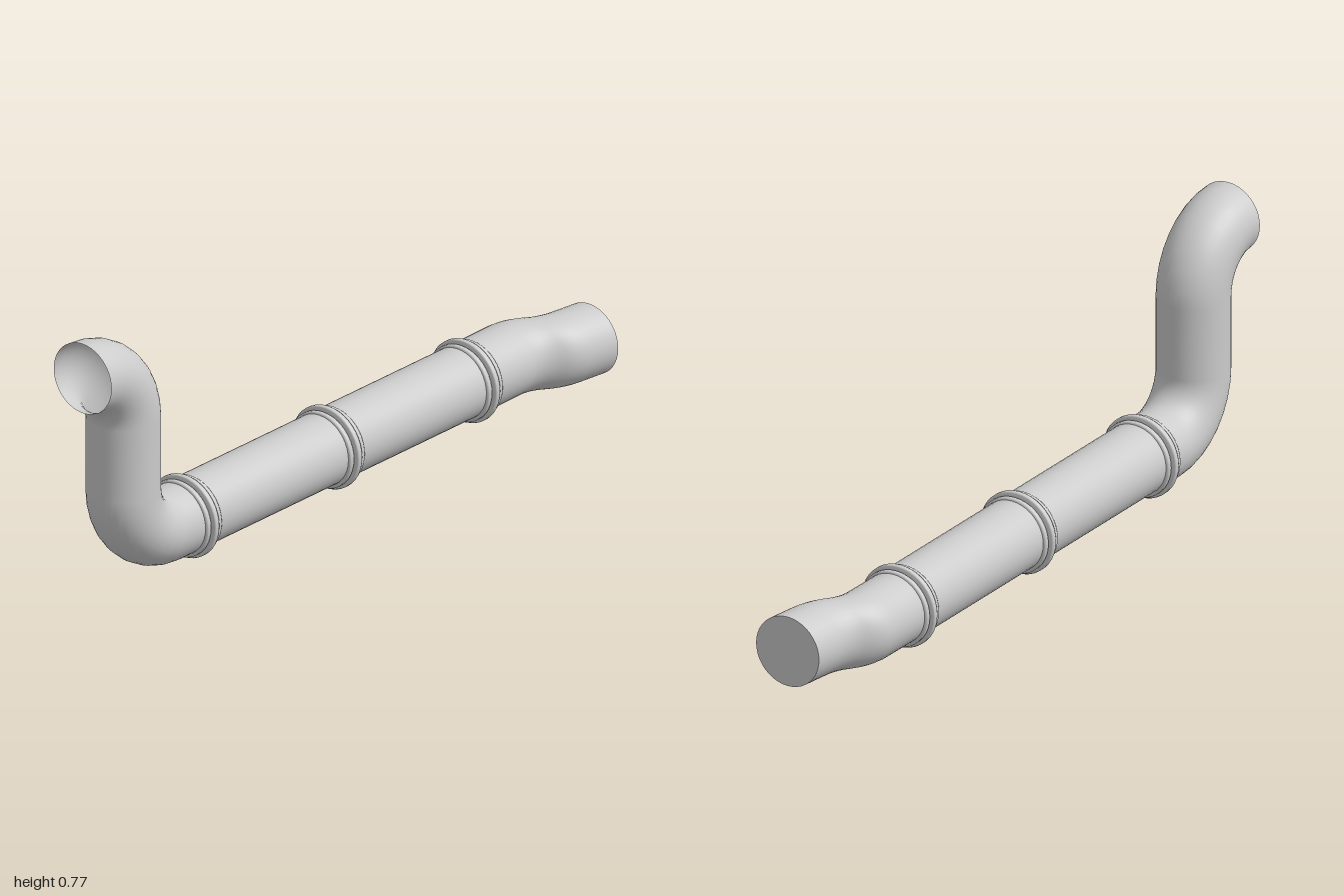
import * as THREE from 'three';

const R = 0.102, BEND = 0.168, SIDES = 40;
const X = -0.033, Y = 0.121;
const material = new THREE.MeshStandardMaterial({ color: 0xcccccc, side: THREE.DoubleSide });

function add(group, geometry, name) {
  const mesh = new THREE.Mesh(geometry, material);
  mesh.name = name;
  group.add(mesh);
  return mesh;
}

// Skins circular rings { x, y, z, a }; a is the downward pitch of the path from -z
function loft(rings) {
  const positions = [], index = [];
  rings.forEach(({ x, y, z, a = 0 }, i) => {
    for (let j = 0; j < SIDES; j++) {
      const t = (j / SIDES) * Math.PI * 2;
      const up = R * Math.sin(t);
      positions.push(x + R * Math.cos(t), y + up * Math.cos(a), z - up * Math.sin(a));
      if (i === rings.length - 1) continue;
      const k = (j + 1) % SIDES;
      const p = i * SIDES + j, q = i * SIDES + k;
      index.push(p, p + SIDES, q, q, p + SIDES, q + SIDES);
    }
  });
  const geometry = new THREE.BufferGeometry();
  geometry.setAttribute('position', new THREE.Float32BufferAttribute(positions, 3));
  geometry.setIndex(index);
  geometry.computeVertexNormals();
  return geometry;
}

export function createModel() {
  const model = new THREE.Group();
  model.name = 'pipe';

  // Front riser: open mouth, bend down, vertical run, bend back to horizontal
  const riser = [], steps = 8;
  for (let i = 0; i <= steps; i++) {
    const a = (i / steps) * Math.PI / 2;
    riser.push({ x: X, y: 0.5 + BEND * Math.cos(a), z: 1 - BEND * Math.sin(a), a });
  }
  for (let i = steps; i >= 0; i--) {
    const a = (i / steps) * Math.PI / 2;
    riser.push({ x: X, y: Y + BEND * (1 - Math.cos(a)), z: 0.664 + BEND * Math.sin(a), a });
  }
  riser.push({ x: X, y: Y, z: 0.58 });
  add(model, loft(riser), 'frontRiser');

  // Straight runs between the collars
  const joints = [0.58, -0.01, -0.58];
  for (let i = 0; i < 2; i++) {
    add(model, loft([joints[i], joints[i + 1]].map(z => ({ x: X, y: Y, z }))), 'straightPipe');
  }

  // Rear run, shifted sideways
  const shift = new THREE.CatmullRomCurve3([
    [-0.75, X], [-0.785, -0.026], [-0.815, -0.011], [-0.85, 0.014],
    [-0.885, 0.029], [-0.92, 0.036], [-1, 0.047],
  ].map(([z, x]) => new THREE.Vector3(x, Y + 0.002, z)));
  const rear = shift.getPoints(18).map(({ x, y, z }) => ({ x, y, z }));
  add(model, loft([{ x: X, y: Y, z: -0.58 }, ...rear]), 'rearOffset');

  // Closed rear end
  const cap = add(model, new THREE.CircleGeometry(R, SIDES), 'rearCap');
  cap.rotation.y = Math.PI;
  cap.position.set(0.047, Y + 0.002, -1);

  // Joint collars: a tall middle rib between two low ribs
  const ribs = [[-0.022, 0.009, 0.110], [0, 0.010, 0.119], [0.022, 0.009, 0.110]];
  for (const z of joints) {
    const collar = new THREE.Group();
    collar.name = 'collar';
    for (const [offset, half, radius] of ribs) {
      const profile = [
        [R - 0.004, -half], [radius - 0.003, -half], [radius, -half * 0.5],
        [radius, half * 0.5], [radius - 0.003, half], [R - 0.004, half],
      ].map(([r, h]) => new THREE.Vector2(r, h + offset));
      add(collar, new THREE.LatheGeometry(profile, SIDES), 'collarRib');
    }
    collar.rotation.x = Math.PI / 2;
    collar.position.set(X, Y - 0.002, z);
    model.add(collar);
  }
  return model;
}
